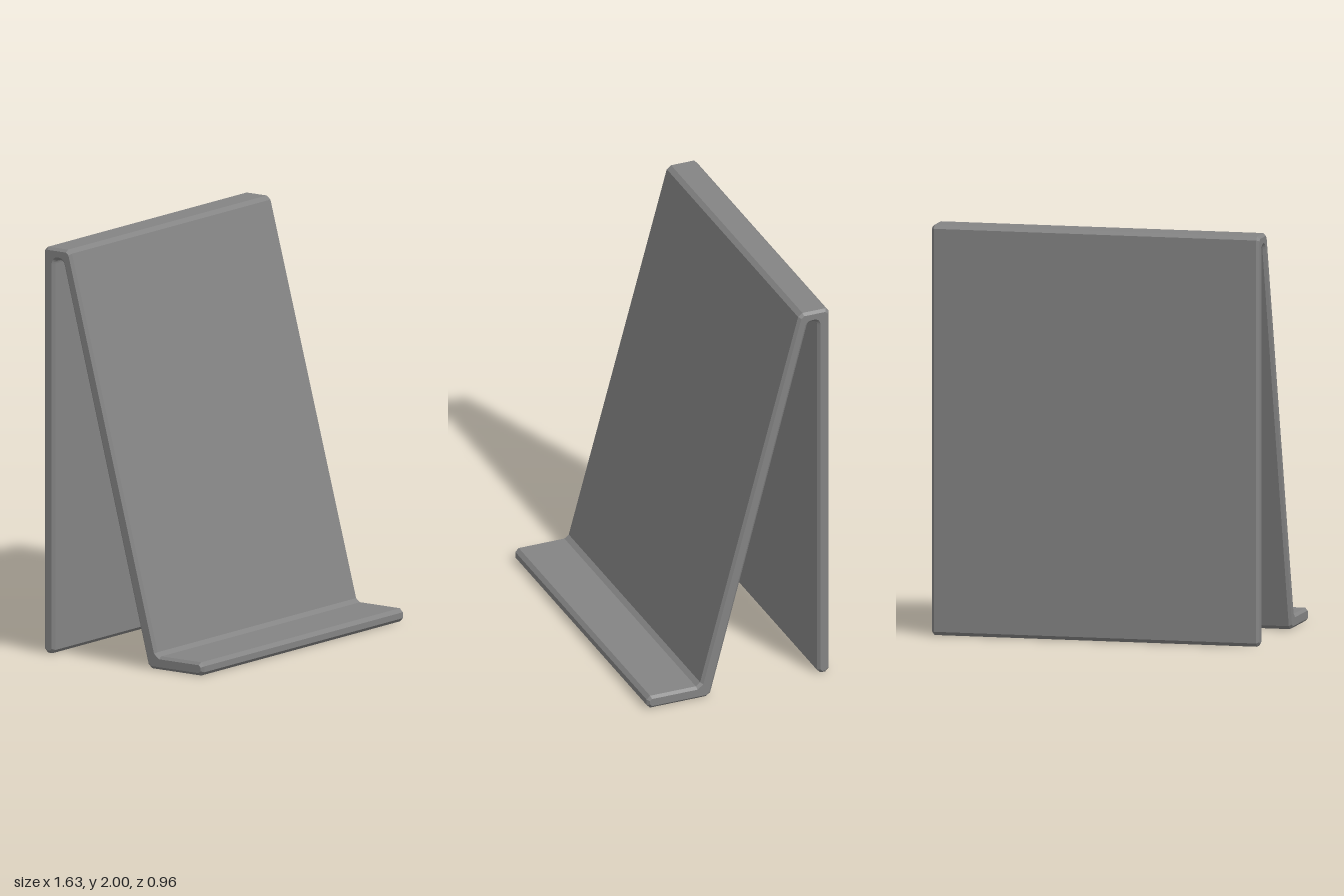
import * as THREE from 'three';

// Closed outline from corners [u, v, cut, round]: each is chamfered, or rounded if flagged
function cutOutline(corners) {
  const shape = new THREE.Shape();
  const n = corners.length;
  const point = (i) => new THREE.Vector2(corners[i % n][0], corners[i % n][1]);
  const toward = (a, b, d) => a.clone().add(b.clone().sub(a).setLength(d));
  for (let i = 0; i < n; i++) {
    const [, , cut, round] = corners[i];
    const p = point(i);
    const start = toward(p, point(i + n - 1), cut);
    const end = toward(p, point(i + 1), cut);
    if (i === 0) shape.moveTo(start.x, start.y);
    else shape.lineTo(start.x, start.y);
    if (round) shape.quadraticCurveTo(p.x, p.y, end.x, end.y);
    else shape.lineTo(end.x, end.y);
  }
  shape.closePath();
  return shape;
}

export function createModel() {
  const width = 1.634, bevel = 0.013, cut = 0.018;

  // Side profile as (z, y): front ledge, leaning panel, top fold, upright back leg
  const profile = cutOutline([
    [0.478, 0, cut],
    [0.478, 0.065, cut],
    [0.202, 0.065, cut],
    [-0.322, 2, cut],
    [-0.478, 2, cut],
    [-0.478, 0, cut],
    [-0.416, 0, cut],
    [-0.416, 1.944, 0.022, true],
    [-0.366, 1.944, 0.022, true],
    [0.149, 0, cut],
  ]);

  // Flat chamfers run around both side edges
  const geometry = new THREE.ExtrudeGeometry(profile, {
    depth: width - 2 * bevel,
    curveSegments: 5,
    bevelEnabled: true,
    bevelSize: bevel,
    bevelThickness: bevel,
    bevelOffset: -bevel,
    bevelSegments: 1,
  });
  geometry.translate(0, 0, -(width - 2 * bevel) / 2);
  geometry.rotateY(-Math.PI / 2); // profile z to model z, depth to x

  const stand = new THREE.Mesh(
    geometry,
    new THREE.MeshStandardMaterial({ color: 0x848484 })
  );
  stand.name = 'foldedStand';

  const group = new THREE.Group();
  group.name = 'displayStand';
  group.add(stand);
  return group;
}
